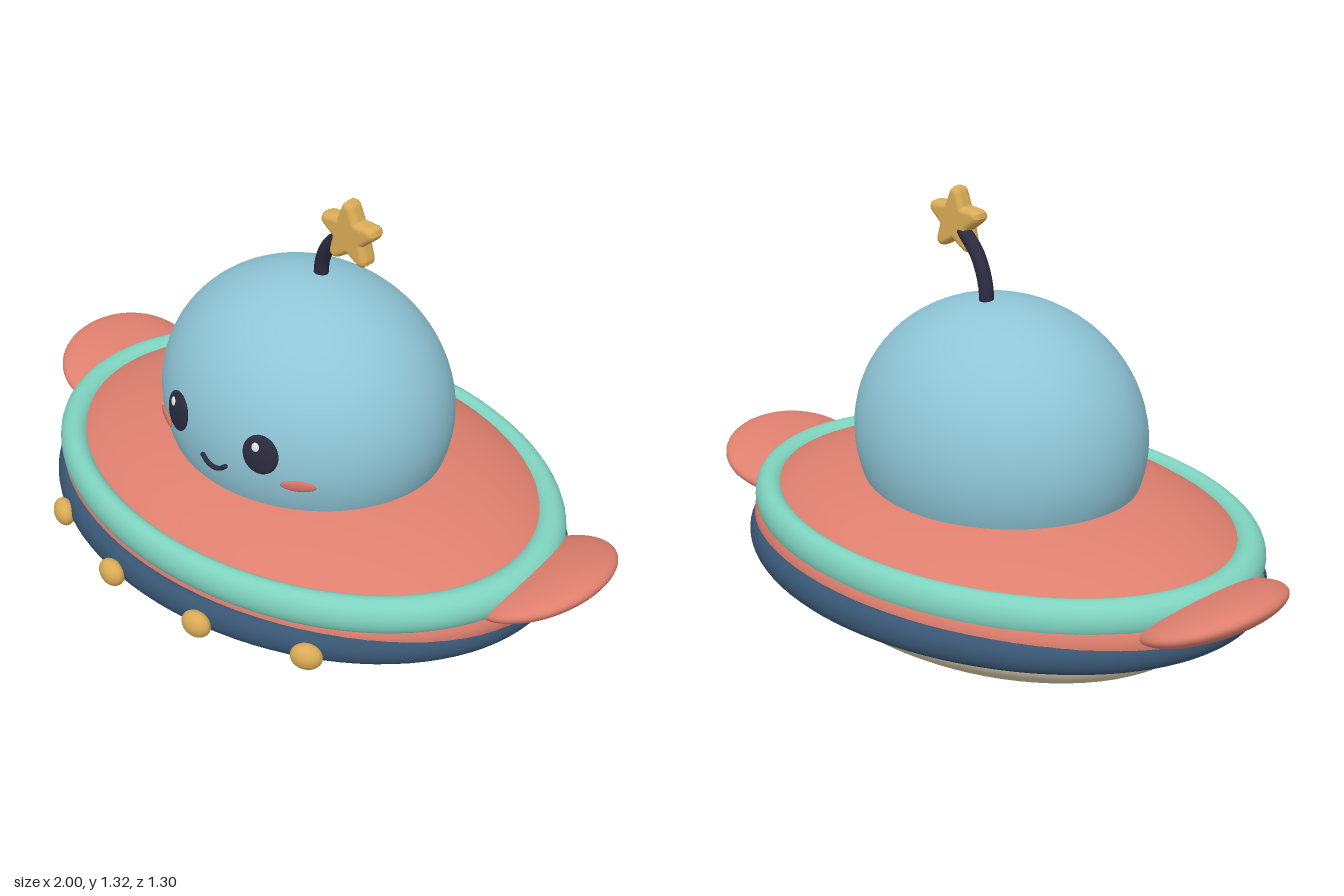
import * as THREE from 'three';

const paint = (name, color) => {
  const m = new THREE.MeshStandardMaterial({ color });
  m.name = name;
  return m;
};

export function createModel() {
  const root = new THREE.Group();
  root.name = 'saucer';
  const blue = paint('skyBlue', 0x8ec5d6);
  const coral = paint('coral', 0xde7f6e);
  const teal = paint('teal', 0x7fd3c0);
  const navy = paint('navy', 0x385572);
  const dark = paint('darkIndigo', 0x2b2a3f);
  const gold = paint('gold', 0xd9ab55);
  const cream = paint('cream', 0xd6c8ab);
  const blush = paint('blush', 0xd87468);
  const white = paint('white', 0xffffff);

  const add = (name, geometry, material, pos = [0, 0, 0]) => {
    const mesh = new THREE.Mesh(geometry, material);
    mesh.name = name;
    mesh.position.set(...pos);
    root.add(mesh);
    return mesh;
  };
  const ellipsoid = (name, radii, pos, material, seg = 32) =>
    add(name, new THREE.SphereGeometry(1, seg * 2, seg).scale(...radii), material, pos);
  // Oval ring lying flat: half-widths of its centre line, then tube radii
  const ring = (name, rx, rz, tube, height, pos, material) =>
    add(name, new THREE.TorusGeometry(rx, tube, 24, 96).rotateX(Math.PI / 2)
      .scale(1, height / tube, rz / rx), material, pos);

  // Hull
  ellipsoid('hull', [0.84, 0.233, 0.6], [0, 0.31, -0.015], coral, 40);
  ellipsoid('underside', [0.67, 0.165, 0.485], [0, 0.17, -0.025], cream, 36).rotation.x = 0.025;
  ring('upperRing', 0.785, 0.566, 0.052, 0.056, [0, 0.374, -0.008], teal);
  ring('lowerRing', 0.795, 0.602, 0.045, 0.046, [0, 0.273, -0.012], navy);

  // Side fins, tilted up towards their tips
  for (const side of [-1, 1]) {
    ellipsoid(side > 0 ? 'leftFin' : 'rightFin', [0.19, 0.054, 0.235],
      [side * 0.82, 0.357, -0.077], coral).rotation.z = side * 0.35;
  }

  // Lamps along the front of the lower ring
  for (const [x, z, turn] of [[-0.48, 0.523, -0.45], [-0.17, 0.625, -0.12], [0.165, 0.625, 0.12], [0.48, 0.523, 0.45]]) {
    ellipsoid('lamp', [0.046, 0.04, 0.03], [x, 0.265, z], gold, 14).rotation.y = turn;
  }

  // Head
  const headPos = [0, 0.635, -0.015], headR = [0.45, 0.4, 0.385];
  ellipsoid('head', headR, headPos, blue, 40);

  // Face parts: flat ovals resting on the front of the head
  const onHead = (name, x, y, radii, lift, material) => {
    const u = (x - headPos[0]) / headR[0], v = (y - headPos[1]) / headR[1];
    const w = Math.sqrt(1 - u * u - v * v);
    const n = new THREE.Vector3(u / headR[0], v / headR[1], w / headR[2]).normalize();
    const mesh = ellipsoid(name, radii, [x, y, headPos[2] + w * headR[2]], material, 14);
    mesh.position.addScaledVector(n, lift);
    mesh.quaternion.setFromUnitVectors(new THREE.Vector3(0, 0, 1), n);
  };
  for (const side of [-1, 1]) {
    const x = side * 0.156 - 0.002;
    onHead('eye', x, 0.683, [0.054, 0.06, 0.012], 0.006, dark);
    onHead('eyeGlint', x - 0.012, 0.706, [0.012, 0.014, 0.005], 0.016, white);
    onHead('cheek', side * 0.252, 0.6, [0.051, 0.018, 0.007], 0.003, blush);
  }
  const smile = new THREE.CatmullRomCurve3([[-0.043, 0.602], [-0.024, 0.587], [0, 0.581], [0.024, 0.587], [0.043, 0.602]]
    .map(([x, y]) => new THREE.Vector3(x, y, 0.375 - x * x * 1.2)));
  add('mouth', new THREE.TubeGeometry(smile, 24, 0.007, 8), dark);
  for (const t of [0, 1]) ellipsoid('mouthCorner', [0.007, 0.007, 0.007], smile.getPoint(t).toArray(), dark, 6);

  // Antenna
  const stalk = new THREE.CatmullRomCurve3([
    [0.017, 0.99, -0.05], [0.03, 1.08, -0.044], [0.07, 1.15, -0.032], [0.112, 1.185, -0.022], [0.16, 1.215, -0.01],
  ].map(p => new THREE.Vector3(...p)));
  add('antennaStalk', new THREE.TubeGeometry(stalk, 32, 0.021, 16), dark);

  // Star with softly rounded tips and edges
  const corners = Array.from({ length: 10 }, (_, i) => {
    const r = i % 2 ? 0.037 : 0.086, a = Math.PI / 2 + i * Math.PI / 5;
    return new THREE.Vector2(r * Math.cos(a), r * Math.sin(a));
  });
  const shape = new THREE.Shape();
  corners.forEach((c, i) => {
    const from = c.clone().lerp(corners[(i + 9) % 10], 0.2), to = c.clone().lerp(corners[(i + 1) % 10], 0.2);
    if (i) shape.lineTo(from.x, from.y);
    else shape.moveTo(from.x, from.y);
    shape.quadraticCurveTo(c.x, c.y, to.x, to.y);
  });
  shape.closePath();
  const star = new THREE.ExtrudeGeometry(shape, {
    depth: 0.016, bevelThickness: 0.02, bevelSize: 0.017, bevelSegments: 6, curveSegments: 5,
  }).translate(0, 0, -0.008);
  add('antennaStar', star, gold, [0.166, 1.228, -0.007]).rotation.z = 0.03;

  return root;
}
